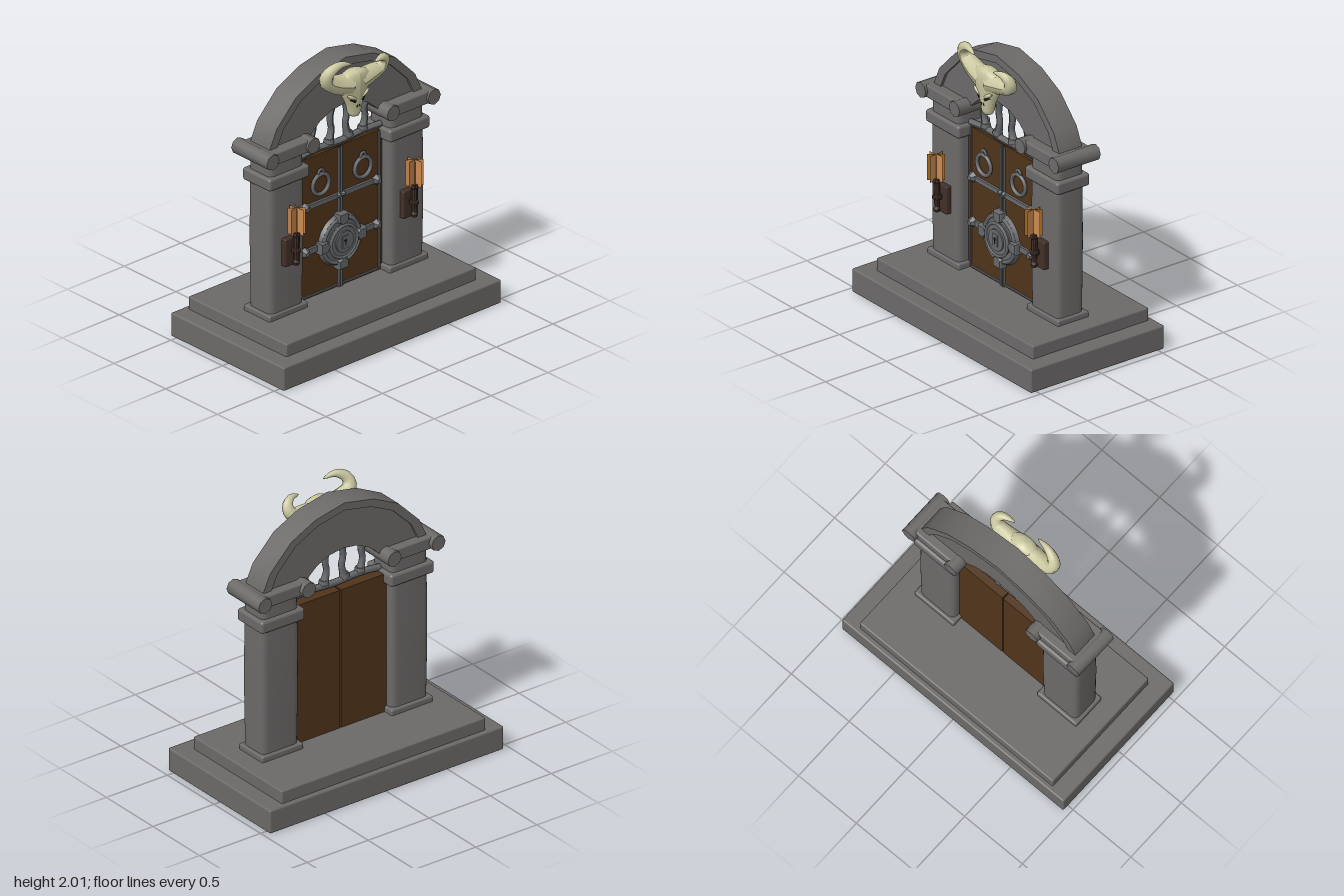
import * as THREE from 'three';
import { toCreasedNormals } from 'three/addons/utils/BufferGeometryUtils.js';
import { RoundedBoxGeometry } from 'three/addons/geometries/RoundedBoxGeometry.js';

const flat = (hex, side = THREE.FrontSide) => new THREE.MeshStandardMaterial({ color: hex, side });

function named(material, name) { material.name = name; return material; }

export function createModel() {
  const stone = named(flat(0x6c6a69), 'stone');
  const metal = named(flat(0x66686a), 'metal');
  const wood = named(flat(0x50341a), 'wood');
  const darkWood = named(flat(0x432f28), 'dark wood');
  const flame = named(flat(0xc98a52, THREE.DoubleSide), 'flame');
  const ember = named(flat(0xa8691f, THREE.DoubleSide), 'ember');
  const bone = named(flat(0xcac8a0), 'bone');
  const black = named(flat(0x1c1a18), 'black');

  // The gate is modelled facing +z, then turned to face +x.
  const gate = new THREE.Group();
  gate.name = 'gate';
  gate.rotation.y = Math.PI / 2;
  const model = new THREE.Group();
  model.add(gate);

  const add = (name, geometry, material, x = 0, y = 0, z = 0) => {
    const mesh = new THREE.Mesh(geometry, material);
    mesh.name = name;
    mesh.position.set(x, y, z);
    gate.add(mesh);
    return mesh;
  };
  // Box given by its limits on each axis
  const block = (name, material, x0, x1, y0, y1, z0, z1, r = 0) => {
    const s = [x1 - x0, y1 - y0, z1 - z0];
    const g = r ? new RoundedBoxGeometry(...s, 2, r) : new THREE.BoxGeometry(...s);
    return add(name, g, material, (x0 + x1) / 2, (y0 + y1) / 2, (z0 + z1) / 2);
  };
  const creased = (g, angle = 0.7) => toCreasedNormals(g, angle);
  // Tube whose radius follows a rule along its length
  const taperTube = (points, radius, steps = 16, sides = 10) => {
    const path = new THREE.CatmullRomCurve3(points.map(p => new THREE.Vector3(...p)));
    const g = new THREE.TubeGeometry(path, steps, 1, sides);
    const pos = g.attributes.position, v = new THREE.Vector3();
    for (let i = 0; i < pos.count; i++) {
      const t = Math.floor(i / (sides + 1)) / steps;
      const c = path.getPointAt(t);
      v.fromBufferAttribute(pos, i).sub(c).multiplyScalar(radius(t)).add(c);
      pos.setXYZ(i, v.x, v.y, v.z);
    }
    g.computeVertexNormals();
    return g;
  };

  // Stepped base
  block('lowerStep', stone, -0.958, 0.958, 0, 0.17, -0.548, 0.548, 0.012);
  block('upperStep', stone, -0.835, 0.835, 0.16, 0.26, -0.513, 0.438, 0.01);

  // Pillar shaft: rounded section, swelling a little at mid height
  const w = 0.153, d = 0.112, r = 0.05;
  const section = new THREE.Shape();
  section.moveTo(-w + r, -d).lineTo(w - r, -d).quadraticCurveTo(w, -d, w, -d + r)
    .lineTo(w, d - r).quadraticCurveTo(w, d, w - r, d)
    .lineTo(-w + r, d).quadraticCurveTo(-w, d, -w, d - r)
    .lineTo(-w, -d + r).quadraticCurveTo(-w, -d, -w + r, -d);
  const shaft = new THREE.ExtrudeGeometry(section, { depth: 1.12, steps: 6, bevelEnabled: false, curveSegments: 5 });
  shaft.rotateX(-Math.PI / 2);
  const sp = shaft.attributes.position;
  for (let i = 0; i < sp.count; i++) {
    const k = 0.97 + 0.045 * Math.sin(Math.PI * sp.getY(i) / 1.12);
    sp.setX(i, sp.getX(i) * k);
    sp.setZ(i, sp.getZ(i) * k);
  }
  const shaftGeo = creased(shaft);
  const roll = creased(new THREE.CylinderGeometry(0.056, 0.056, 0.345, 8).rotateX(Math.PI / 2), 0.9);

  for (const s of [-1, 1]) {
    const cx = s * 0.53;
    add('pillarShaft', shaftGeo, stone, cx, 0.28, 0.004);
    block('pillarFoot', stone, cx - 0.17, cx + 0.17, 0.25, 0.3, -0.128, 0.128, 0.012);
    block('pillarBand', stone, cx - 0.178, cx + 0.178, 1.21, 1.3, -0.133, 0.138, 0.02);
    block('capital', stone, cx - 0.175, cx + 0.175, 1.4, 1.49, -0.14, 0.155, 0.012);
    for (const e of [-0.18, 0.18]) add('capitalRoll', roll, stone, cx + e, 1.445, 0);
  }

  // Arch: recessed ring with a thicker outer rim
  const half = [[0.67, 1.44], [0.665, 1.5], [0.61, 1.62], [0.44, 1.795], [0.24, 1.895]];
  const mirror = (pts, top) => [...pts, top, ...[...pts].reverse().map(([x, y]) => [-x, y])];
  const outer = mirror(half, [0, 1.945]);
  const rimInner = outer.map(([x, y]) => [x * 0.9, 1.44 + (y - 1.44) * 0.89]);
  const inner = mirror([[0.32, 1.44], [0.275, 1.485], [0.21, 1.54], [0.11, 1.585]], [0, 1.6]);
  const ring = (name, a, b, z) => {
    const shape = new THREE.Shape([...a, ...[...b].reverse()].map(p => new THREE.Vector2(...p)));
    add(name, creased(new THREE.ExtrudeGeometry(shape, { depth: 2 * z, bevelEnabled: false }), 0.5), stone, 0, 0, -z);
  };
  ring('archRing', outer.map(([x, y]) => [x * 0.99, 1.44 + (y - 1.44) * 0.99]), inner, 0.075);
  ring('archRim', outer, rimInner, 0.094);

  // Lintel and upright bars below the arch
  add('lintel', taperTube([[-0.37, 1.3, 0.02], [-0.2, 1.315, 0.02], [0, 1.305, 0.02], [0.2, 1.315, 0.02], [0.37, 1.31, 0.02]],
    () => 0.024, 16, 8), metal);
  [[-0.22, 1.53], [-0.072, 1.6], [0.075, 1.6], [0.225, 1.53]].forEach(([x, top], i) => {
    const bend = i % 2 ? 0.012 : -0.012;
    add('archBar', taperTube([[x - bend, 1.32, 0.02], [x + bend, 1.42, 0.02], [x, 1.48, 0.02], [x + bend, top, 0.02]],
      t => 0.022 + 0.013 * Math.abs(2 * t - 1) ** 3, 10, 8), metal);
    add('barFoot', new THREE.CylinderGeometry(0.03, 0.036, 0.03, 8), metal, x - bend, 1.34, 0.02);
  });

  // Double door with straps, studs and ring knockers
  const face = 0.035;
  const stud = creased(new THREE.CylinderGeometry(0.018, 0.04, 0.035, 6).rotateX(Math.PI / 2), 0.3);
  for (const s of [-1, 1]) {
    const span = (name, mat, a, b, y0, y1, z0, z1) =>
      block(name, mat, Math.min(s * a, s * b), Math.max(s * a, s * b), y0, y1, z0, z1);
    span('door', wood, 0.005, 0.375, 0.26, 1.28, -0.05, face);
    span('centreTrim', metal, 0.006, 0.018, 0.26, 1.27, face, face + 0.015);
    span('outerTrim', metal, 0.34, 0.352, 0.28, 1.27, face, face + 0.008);
    span('bottomTrim', metal, 0.02, 0.34, 0.27, 0.282, face, face + 0.008);
    span('upperStrap', metal, 0.012, 0.35, 0.912, 0.945, face, face + 0.018);
    span('lowerStrap', metal, 0.15, 0.35, 0.585, 0.625, face, face + 0.018);
    for (const y of [0.93, 0.605]) add('strapStud', stud, metal, s * 0.315, y, face + 0.025);
    add('strapEnd', stud, metal, s * 0.02, 0.93, face + 0.02).scale.setScalar(0.6);
    add('knockerRing', new THREE.TorusGeometry(0.072, 0.014, 8, 20), metal, s * 0.185, 1.07, face + 0.022);
    add('knockerLoop', new THREE.TorusGeometry(0.022, 0.01, 6, 12), metal, s * 0.185, 1.155, face + 0.022);
  }

  // Round lock in the middle with four points
  const disc = (name, radius, z1, material, sides = 24) =>
    add(name, creased(new THREE.CylinderGeometry(radius * 0.95, radius, z1 - face, sides).rotateX(Math.PI / 2), 0.5),
      material, -0.008, 0.605, (face + z1) / 2);
  disc('lockPlate', 0.185, 0.062, metal);
  disc('lockBoss', 0.118, 0.088, metal);
  disc('lockCentre', 0.08, 0.098, metal);
  add('lockRim', new THREE.TorusGeometry(0.16, 0.014, 6, 28), metal, -0.008, 0.605, 0.062);
  add('lockRing', new THREE.TorusGeometry(0.115, 0.012, 6, 24), metal, -0.008, 0.605, 0.086);
  block('keyPlate', metal, -0.035, 0.018, 0.56, 0.65, 0.09, 0.104, 0.005);
  add('keyhole', new THREE.CylinderGeometry(0.011, 0.011, 0.006, 10).rotateX(Math.PI / 2), black, -0.008, 0.617, 0.104);
  block('keySlot', black, -0.013, -0.003, 0.583, 0.615, 0.101, 0.107);
  const tip = new THREE.Shape([[-0.034, -0.03], [0.034, -0.03], [0.034, 0.022], [0, 0.045], [-0.034, 0.022]]
    .map(p => new THREE.Vector2(...p)));
  const tipGeo = new THREE.ExtrudeGeometry(tip, { depth: 0.045, bevelSize: 0.006, bevelThickness: 0.01, bevelSegments: 1 });
  for (let i = 0; i < 4; i++) {
    const a = i * Math.PI / 2;
    add('lockPoint', tipGeo, metal, -0.008 + 0.165 * Math.sin(a), 0.605 + 0.165 * Math.cos(a), face)
      .rotation.z = Math.PI - a;
  }

  // Wall torches: bracket, handle and crossed flame sheets
  const handle = new THREE.LatheGeometry([[0, 0.64], [0.02, 0.645], [0.024, 0.665], [0.016, 0.68], [0.018, 0.735],
    [0.032, 0.74], [0.032, 0.757], [0.02, 0.762], [0.022, 0.85], [0.033, 0.86], [0.033, 0.885], [0, 0.885]]
    .map(p => new THREE.Vector2(...p)), 10);
  for (const s of [-1, 1]) {
    const x = s * 0.52;
    block('torchPlate', darkWood, x - 0.065, x + 0.065, 0.63, 0.83, 0.1, 0.155, 0.008);
    block('torchArm', darkWood, x - 0.018, x + 0.018, 0.73, 0.765, 0.14, 0.19);
    add('torchHandle', creased(handle, 0.6), darkWood, x, 0, 0.185);
    for (let i = 0; i < 4; i++) {
      add('flameSheet', new THREE.PlaneGeometry(0.118, 0.19), i === 1 ? ember : flame, x, 0.965, 0.19)
        .rotation.y = i * Math.PI / 4 + 0.15;
    }
  }

  // Horned skull: a turned profile, flattened from front to back
  const skull = new THREE.LatheGeometry([[0.001, 1.553], [0.035, 1.556], [0.05, 1.58], [0.06, 1.63], [0.09, 1.69],
    [0.125, 1.75], [0.145, 1.81], [0.11, 1.86], [0.05, 1.88], [0.001, 1.885]].map(p => new THREE.Vector2(...p)), 16);
  const kp = skull.attributes.position;
  for (let i = 0; i < kp.count; i++) {
    const z = kp.getZ(i), radius = Math.hypot(kp.getX(i), z);
    kp.setZ(i, 0.168 + z * 0.09 / (radius + 0.06));
  }
  skull.computeVertexNormals();
  add('skull', skull, bone, 0.005, 0, 0);
  const hornRadius = t => 0.075 * (1 - t) ** 0.75 + 0.003;
  add('horn', taperTube([[-0.04, 1.79, 0.16], [-0.15, 1.82, 0.16], [-0.235, 1.875, 0.165], [-0.235, 1.935, 0.185],
    [-0.16, 1.982, 0.21], [-0.065, 1.965, 0.225]], hornRadius), bone);
  add('horn', taperTube([[0.04, 1.79, 0.16], [0.15, 1.805, 0.16], [0.235, 1.825, 0.165], [0.255, 1.88, 0.185],
    [0.215, 1.918, 0.21], [0.135, 1.915, 0.225]], hornRadius), bone);
  for (const s of [-1, 1]) {
    const brow = add('brow', new THREE.SphereGeometry(1, 10, 8), bone, 0.005 + s * 0.055, 1.71, 0.21);
    brow.scale.set(0.045, 0.014, 0.018);
    brow.rotation.z = s * 0.5;
    const eye = add('eye', new THREE.BoxGeometry(0.045, 0.016, 0.009), black, 0.005 + s * 0.048, 1.685, 0.211);
    eye.rotation.set(0, s * 0.5, s * 0.5);
    add('nostril', new THREE.BoxGeometry(0.008, 0.022, 0.009), black, 0.005 + s * 0.01, 1.635, 0.21)
      .rotation.z = s * 0.35;
  }
  return model;
}
